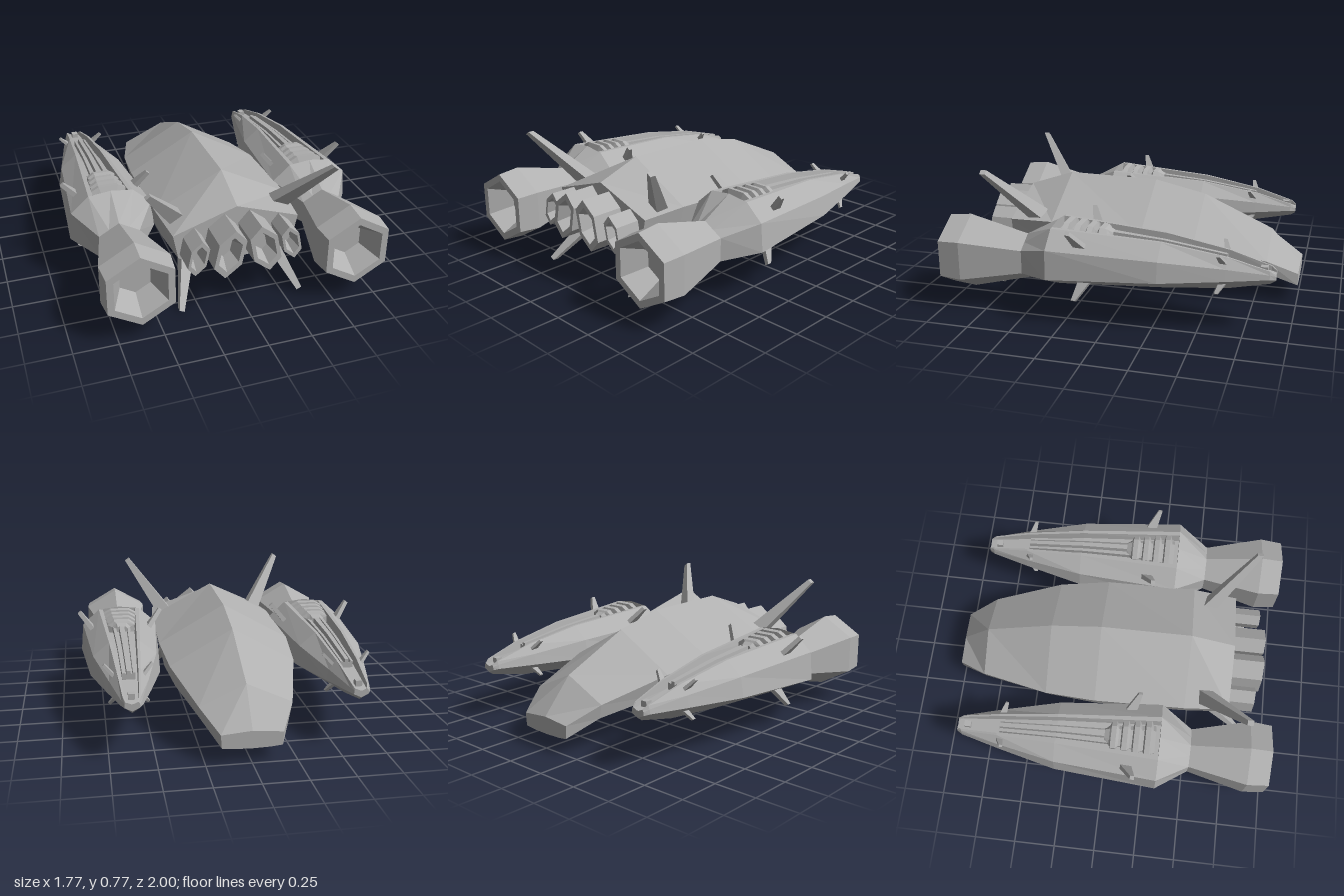
import * as THREE from 'three';

const hullGrey = new THREE.MeshStandardMaterial({ color: 0xb0b0b0, flatShading: true });
hullGrey.name = 'hull grey';

// Skin closed rings (counter-clockwise about the travel direction), capping both ends
function loft(name, rings) {
  const pos = [];
  const tri = (...pts) => pts.forEach(p => pos.push(...p));
  const centre = r => [0, 1, 2].map(k => r.reduce((s, p) => s + p[k], 0) / r.length);
  const n = rings[0].length;
  const first = rings[0], last = rings[rings.length - 1];
  const c0 = centre(first), c1 = centre(last);
  for (let i = 0; i < n; i++) {
    const j = (i + 1) % n;
    for (let s = 0; s < rings.length - 1; s++) {
      const a = rings[s], b = rings[s + 1];
      tri(a[i], a[j], b[j]);
      tri(a[i], b[j], b[i]);
    }
    tri(c0, first[j], first[i]);
    tri(c1, last[i], last[j]);
  }
  const geo = new THREE.BufferGeometry();
  geo.setAttribute('position', new THREE.Float32BufferAttribute(pos, 3));
  geo.computeVertexNormals();
  const mesh = new THREE.Mesh(geo, hullGrey);
  mesh.name = name;
  return mesh;
}

// Half outline, bottom to top on +x, mirrored into a full ring
function ring(z, half) {
  const left = half.filter(p => p[0] > 0).reverse().map(([x, y]) => [-x, y]);
  return [...half, ...left].map(([x, y]) => [x, y, z]);
}

// Pointed-top hexagon, optionally leaning sideways
function hex(z, cx, cy, rx, ry, lean = 0) {
  return Array.from({ length: 6 }, (_, i) => {
    const a = -Math.PI / 2 + i * Math.PI / 3;
    const y = Math.sin(a) * ry;
    return [cx + Math.cos(a) / Math.cos(Math.PI / 6) * rx + lean * y, cy + y, z];
  });
}

// Tapered blade: root and tip are [x, y, z, thickness, chord]
function fin(name, root, tip) {
  const d = new THREE.Vector2(tip[0] - root[0], tip[1] - root[1]).normalize();
  const end = ([x, y, z, t, c]) => [[-1, -1], [1, -1], [1, 1], [-1, 1]].map(([u, v]) =>
    [x - d.y * u * t / 2, y + d.x * u * t / 2, z + v * c / 2]);
  return loft(name, [end(root), end(tip)]);
}

function createPod() {
  const pod = new THREE.Group();

  // Front body with an open trough: z, shoulder, upper w/y, lower w/y, shoulder y, bottom y
  const body = [
    [-0.91, 0.035, 0.04, 0.345, 0.042, 0.325, 0.355, 0.305],
    [-0.88, 0.048, 0.055, 0.355, 0.06, 0.33, 0.375, 0.285],
    [-0.65, 0.066, 0.108, 0.385, 0.12, 0.32, 0.44, 0.235],
    [-0.29, 0.09, 0.185, 0.42, 0.205, 0.305, 0.5, 0.2],
    [0.33, 0.13, 0.235, 0.445, 0.25, 0.28, 0.54, 0.16],
  ];
  pod.add(loft('podBody', body.map(([z, t, wu, yu, wl, yl, ys, yb], i) => {
    const depth = i === 0 ? 0.01 : i === 1 ? 0.025 : 0.055;
    return ring(z, [[0, yb], [wl, yl], [wu, yu], [t, ys], [t * 0.8, ys], [t * 0.72, ys - depth], [0, ys - depth]]);
  })));

  // Waist and flared engine
  const rear = (z, r, y) => [0, 1, 2, 3].map(k => hex(z, 0, y, r * 0.866, r)[k]);
  const engine = [[0.52, 0.135, 0.315], [0.87, 0.225, 0.315], [1, 0.212, 0.315],
    [1, 0.168, 0.315], [0.86, 0.098, 0.315]];
  pod.add(loft('podEngine', [
    ring(0.33, [[0, 0.16], [0.25, 0.28], [0.235, 0.445], [0.13, 0.54], [0, 0.555]]),
    ...engine.map(([z, r, y]) => {
      const [b, l, u, t] = rear(z, r, y);
      return ring(z, [[0, b[1]], [l[0], l[1]], [u[0], u[1]], [u[0] / 2, (u[1] + t[1]) / 2], [0, t[1]]]);
    }),
  ]));

  // Ribbed machinery block
  const ribs = [[0, 0.045, 0.51], [0.03, 0.055, 0.525]];
  for (let i = 0; i < 4; i++) {
    const z = 0.04 + i * 0.068, w = 0.082 + i * 0.007;
    ribs.push([z, w, 0.535 + i * 0.006], [z + 0.03, w, 0.54 + i * 0.006],
      [z + 0.045, w - 0.02, 0.518], [z + 0.06, w - 0.02, 0.518]);
  }
  pod.add(loft('ribbedBlock', ribs.map(([z, w, y]) =>
    ring(z, [[0, 0.44], [w, 0.44], [w, y - 0.025], [w * 0.55, y], [0, y]]))));

  // Stepped rails along the trough
  pod.add(loft('troughRails', [[-0.64, 0.036, 0.425], [-0.29, 0.043, 0.475], [0.02, 0.052, 0.5]].map(([z, w, y]) =>
    ring(z, [[0, y - 0.06], [w, y - 0.06], [w, y], [w * 0.65, y], [w * 0.6, y - 0.02],
      [w * 0.35, y - 0.02], [w * 0.3, y + 0.012], [0, y + 0.012]]))));

  // Nose sensor
  const sensor = new THREE.Mesh(new THREE.BoxGeometry(0.036, 0.04, 0.04), hullGrey);
  sensor.name = 'noseSensor';
  sensor.position.set(0, 0.365, -0.845);
  pod.add(sensor);

  // Small swept fins
  for (const s of [-1, 1]) {
    pod.add(
      fin('upperRearFin', [s * 0.17, 0.46, 0.14, 0.03, 0.07], [s * 0.255, 0.565, 0.19, 0.025, 0.025]),
      fin('lowerRearFin', [s * 0.12, 0.24, 0.14, 0.03, 0.07], [s * 0.18, 0.14, 0.19, 0.025, 0.025]),
      fin('upperFrontFin', [s * 0.075, 0.405, -0.635, 0.02, 0.045], [s * 0.135, 0.47, -0.61, 0.015, 0.02]),
      fin('lowerFrontFin', [s * 0.065, 0.3, -0.635, 0.02, 0.045], [s * 0.11, 0.24, -0.6, 0.015, 0.02]),
    );
  }
  return pod;
}

export function createModel() {
  const ship = new THREE.Group();
  ship.name = 'spaceship';

  // Central hull: z, bottom y, lower w/y, upper w/y, ridge y
  const hull = [
    [-1, 0.09, 0.165, 0.1, 0.17, 0.175, 0.19],
    [-0.82, 0.15, 0.245, 0.19, 0.26, 0.27, 0.39],
    [-0.4, 0.178, 0.34, 0.25, 0.37, 0.37, 0.578],
    [-0.09, 0.185, 0.37, 0.27, 0.4, 0.42, 0.647],
    [0.46, 0.2, 0.36, 0.28, 0.395, 0.45, 0.657],
    [0.73, 0.23, 0.34, 0.29, 0.37, 0.44, 0.565],
  ];
  ship.add(loft('hull', hull.map(([z, yb, wl, yl, wu, yu, yt]) =>
    ring(z, [[0, yb], [wl * 0.62, yb + (yl - yb) * 0.3], [wl, yl], [wu, yu], [0, yt]]))));

  for (const s of [-1, 1]) {
    const pod = createPod();
    pod.name = s > 0 ? 'leftPod' : 'rightPod';
    pod.position.x = s * 0.62;
    ship.add(pod);

    // Hull thrusters, leaning towards the centre line
    for (const [name, x, y, w, h, z] of [
      ['innerThruster', 0.102, 0.385, 0.088, 0.145, 0.92],
      ['outerThruster', 0.27, 0.37, 0.058, 0.105, 0.885],
    ]) {
      const h6 = (zz, k) => hex(zz, s * x, y, w * k * 0.9, h * k, -s * 0.2);
      ship.add(loft(name, [h6(0.7, 1), h6(z, 1), h6(z, 0.72), h6(z - 0.09, 0.42)]));
    }

    // Large tail fins
    ship.add(
      fin('upperTailFin', [s * 0.3, 0.45, 0.56, 0.09, 0.09], [s * 0.53, 0.77, 0.825, 0.032, 0.035]),
      fin('lowerTailFin', [s * 0.235, 0.27, 0.54, 0.085, 0.09], [s * 0.355, 0.012, 0.825, 0.032, 0.035]),
    );
  }
  return ship;
}
